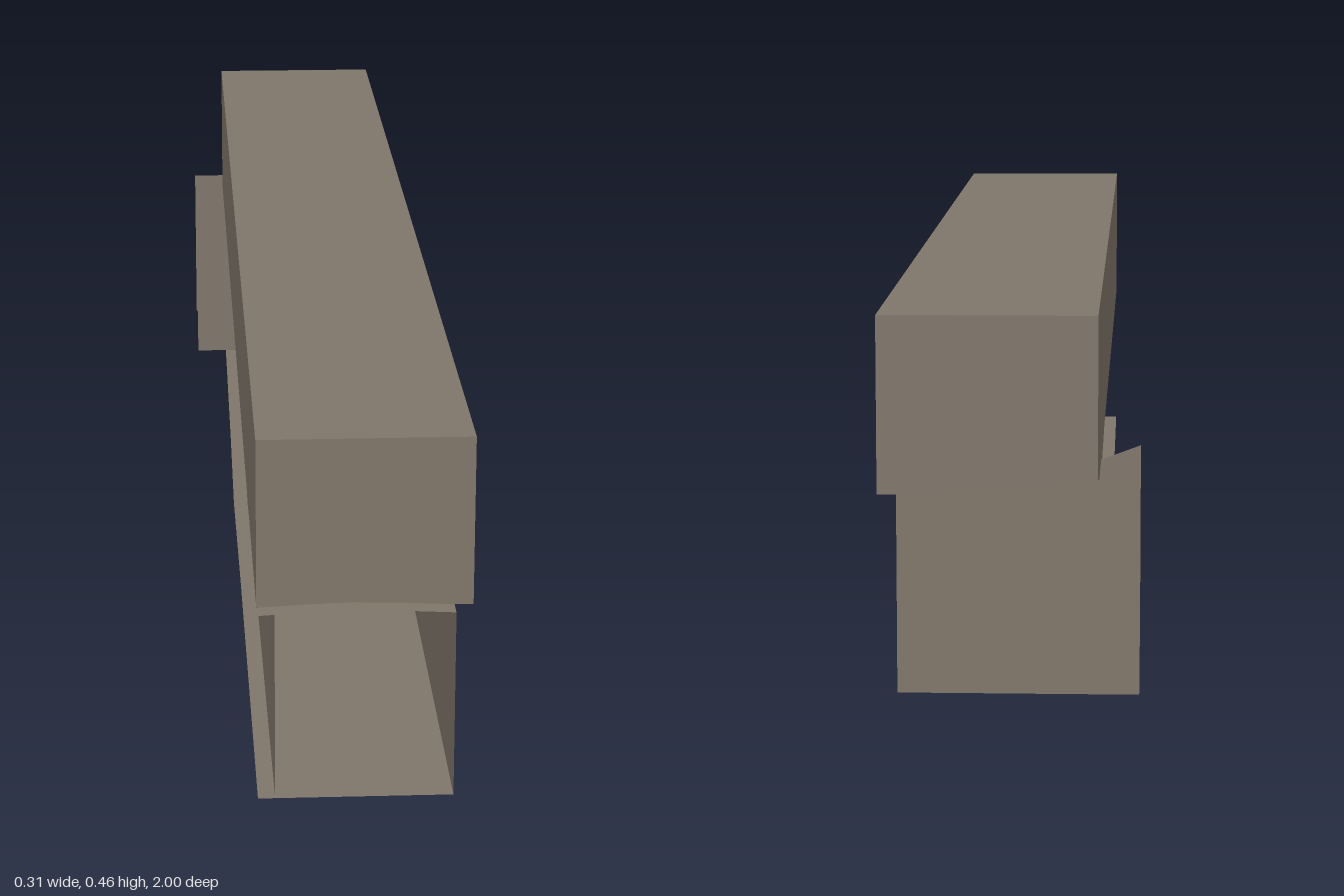
import * as THREE from 'three';

export function createModel() {
  const group = new THREE.Group();
  const taupe = new THREE.MeshStandardMaterial({ color: 0x80766a, side: THREE.DoubleSide });
  taupe.name = 'taupe';

  const add = (name, geometry) => {
    const mesh = new THREE.Mesh(geometry, taupe);
    mesh.name = name;
    group.add(mesh);
    return mesh;
  };

  // Thin sheet stretched between two edges with the same number of points
  const sheet = (name, edgeA, edgeB) => {
    const pos = [];
    for (let i = 0; i < edgeA.length - 1; i++) {
      const [a, b, c, d] = [edgeA[i], edgeA[i + 1], edgeB[i + 1], edgeB[i]];
      pos.push(...a, ...b, ...c, ...a, ...c, ...d);
    }
    const g = new THREE.BufferGeometry();
    g.setAttribute('position', new THREE.Float32BufferAttribute(pos, 3));
    g.computeVertexNormals();
    return add(name, g);
  };

  // Flat upright panel at a given depth
  const panel = (name, points, z) => {
    const shape = new THREE.Shape(points.map(([x, y]) => new THREE.Vector2(x, y)));
    return add(name, new THREE.ShapeGeometry(shape).translate(0, 0, z));
  };

  const right = 0.132, left = -0.107, wallX = -0.086, seam = 0.241, doorZ = -0.763;

  // Upper block, overhanging the lower channel
  add('upperBlock', new THREE.BoxGeometry(0.262, 0.214, 1.973).translate(0.024, 0.348, -0.0115));

  // Lower channel: outer wall, and a floor whose open edge bows slightly
  sheet('outerWall', [[right, 0, 1], [right, 0, -1]], [[right, seam, 1], [right, seam, -1]]);
  const depths = [1, 0.3, 0, -0.3, -1];
  const bow = [0, 0.003, 0.005, 0.003, 0];
  sheet('floor',
    depths.map((z, i) => [left - bow[i], 0, z]),
    depths.map((z) => [right, 0, z]));

  // Inner wall, stopping short of the back to leave an opening
  const wallDepths = [1, 0.3, 0, -0.3, doorZ];
  sheet('innerWall',
    wallDepths.map((z, i) => [wallX - bow[i], 0, z]),
    wallDepths.map((z) => [wallX, seam, z]));

  // Slightly arched ceiling whose lip projects at the front
  const arch = [[left, seam], [-0.05, 0.244], [0.013, 0.246], [0.075, 0.244], [right, seam]];
  sheet('ceiling', arch.map(([x, y]) => [x, y, 1]), arch.map(([x, y]) => [x, y, -0.99]));

  // Back plate, wider than the channel on the open side
  panel('backPlate', [[-0.157, 0], [right, 0], [right, seam], [0.155, seam],
    [0.155, 0.455], [left, 0.455], [left, 0.26], [-0.157, 0.26]], -1);

  // Fin on the near side of the opening
  panel('openingFin', [[-0.157, 0], [wallX, 0], [wallX, 0.233], [-0.157, 0.26]], doorZ);

  return group;
}
